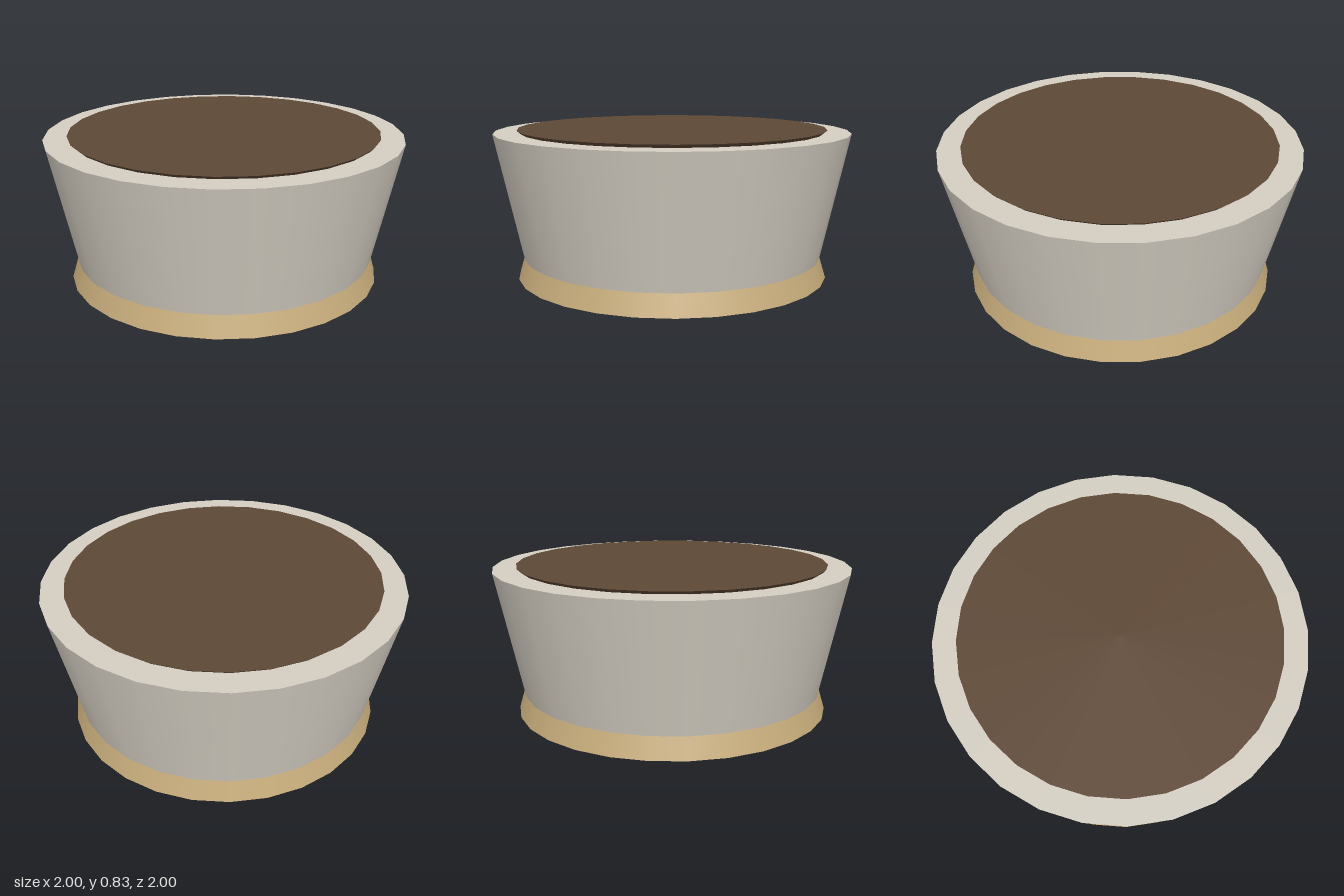
import * as THREE from 'three';

const SEGMENTS = 28;

export function createModel() {
  const model = new THREE.Group();
  model.name = 'planter';

  const material = (name, color) => {
    const m = new THREE.MeshStandardMaterial({ color });
    m.name = name;
    return m;
  };

  // Tapered solid ring between two heights
  const frustum = (name, mat, topRadius, bottomRadius, y0, y1) => {
    const geometry = new THREE.CylinderGeometry(topRadius, bottomRadius, y1 - y0, SEGMENTS);
    geometry.translate(0, (y0 + y1) / 2, 0);
    const mesh = new THREE.Mesh(geometry, mat);
    mesh.name = name;
    model.add(mesh);
  };

  // Flared foot, tapered bowl, and soil standing just proud of the rim
  frustum('base', material('tan', 0xc8ad7c), 0.85, 0.885, 0, 0.115);
  frustum('pot', material('warm grey', 0xd4cec2), 1, 0.85, 0.115, 0.818);
  frustum('soil', material('dark brown', 0x5e4835), 0.87, 0.85, 0.816, 0.835);

  return model;
}
